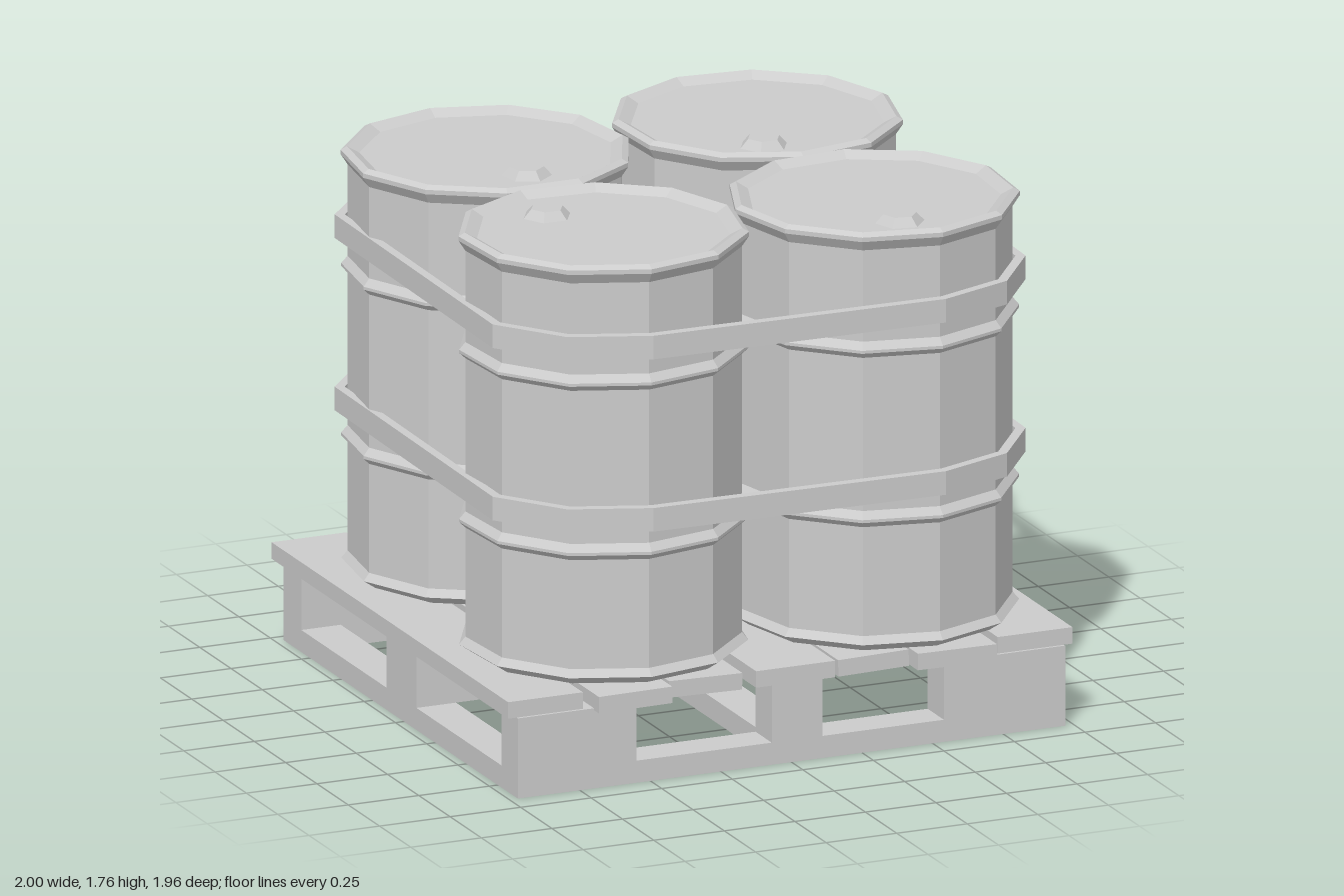
import * as THREE from 'three';

const SIDES = 11;
const rad = THREE.MathUtils.degToRad;
const material = new THREE.MeshStandardMaterial({ color: 0xcccccc, flatShading: true });

// Barrels in order around the pallet: centre, rotation and plug position
const BARRELS = [
  { name: 'frontLeftBarrel', x: 0.48, z: 0.48, turn: 20, plug: [0.45, 0.76] },
  { name: 'frontRightBarrel', x: -0.47, z: 0.46, turn: 29, plug: [-0.57, 0.24] },
  { name: 'backRightBarrel', x: -0.47, z: -0.46, turn: 8, plug: [-0.45, -0.19] },
  { name: 'backLeftBarrel', x: 0.48, z: -0.45, turn: 30, plug: [0.38, -0.17] },
];

// Barrel profile: chamfered foot, two rolling hoops, rim and recessed lid
const PROFILE = [
  [0, 0.33], [0.43, 0.33], [0.474, 0.36], [0.453, 0.385],
  [0.453, 0.755], [0.474, 0.775], [0.474, 0.785], [0.453, 0.81],
  [0.453, 1.33], [0.474, 1.35], [0.474, 1.36], [0.453, 1.385],
  [0.453, 1.695], [0.476, 1.73], [0.476, 1.745], [0.455, 1.757],
  [0.415, 1.735], [0, 1.735],
].map(([r, y]) => new THREE.Vector2(r, y));

function addMesh(parent, name, geometry) {
  const mesh = new THREE.Mesh(geometry, material);
  mesh.name = name;
  parent.add(mesh);
  return mesh;
}

// Box given by its minimum and maximum on each axis
function addBox(parent, name, [x0, x1], [y0, y1], [z0, z1]) {
  const box = addMesh(parent, name, new THREE.BoxGeometry(x1 - x0, y1 - y0, z1 - z0));
  box.position.set((x0 + x1) / 2, (y0 + y1) / 2, (z0 + z1) / 2);
  return box;
}

function createPallet() {
  const pallet = new THREE.Group();
  pallet.name = 'pallet';

  // Base frame with a centre runner
  const low = [0, 0.075];
  addBox(pallet, 'frontBaseBoard', [-0.97, 0.97], low, [0.78, 0.91]);
  addBox(pallet, 'backBaseBoard', [-0.97, 0.97], low, [-0.96, -0.82]);
  for (const [x0, x1] of [[-0.97, -0.83], [-0.05, 0.09], [0.83, 0.97]]) {
    addBox(pallet, 'baseRunner', [x0, x1], low, [-0.82, 0.78]);
  }

  // Spacer blocks: wide at the corners, small in the middle of each side
  const mid = [0.075, 0.272];
  for (const z of [[0.78, 0.91], [-0.96, -0.82]]) {
    for (const x of [[-0.97, -0.55], [-0.07, 0.11], [0.54, 0.97]]) {
      addBox(pallet, 'spacerBlock', x, mid, z);
    }
  }
  for (const x of [[-0.97, -0.73], [0.73, 0.97]]) {
    addBox(pallet, 'sideBlock', x, mid, [-0.14, 0.1]);
  }

  // Uneven deck planks: x range, z range, roll and drop
  const planks = [
    [[-1, -0.735], [-0.99, 0.9], 0, 0],
    [[-0.7, -0.44], [-0.93, 0.95], 0.01, 0.005],
    [[-0.43, -0.17], [-0.92, 0.9], -0.02, 0.004],
    [[-0.13, 0.15], [-0.99, 0.92], 0, 0],
    [[0.17, 0.42], [-0.92, 0.9], 0.02, 0.004],
    [[0.43, 0.71], [-0.95, 0.95], -0.01, 0.005],
    [[0.735, 1], [-0.99, 0.9], 0, 0],
  ];
  for (const [x, z, roll, drop] of planks) {
    const plank = addBox(pallet, 'deckPlank', x, [0.272 - drop, 0.328 - drop], z);
    plank.rotation.z = roll;
  }
  return pallet;
}

function createBarrel({ name, x, z, turn, plug }) {
  const barrel = new THREE.Group();
  barrel.name = name;
  const body = addMesh(barrel, 'barrelBody',
    new THREE.LatheGeometry(PROFILE, SIDES, Math.PI / 2 - rad(turn)));
  body.position.set(x, 0, z);
  const cap = addMesh(barrel, 'plug', new THREE.CylinderGeometry(0.055, 0.083, 0.03, 6));
  cap.position.set(plug[0], 1.749, plug[1]);
  cap.rotation.y = rad(turn);
  return barrel;
}

// Outline around all four barrels, using the outward corners of each
function strapOutline(radius) {
  const points = [];
  BARRELS.forEach(({ x, z, turn }, quadrant) => {
    for (let k = 0; k < SIDES; k++) {
      const angle = (turn + (k * 360) / SIDES) % 360;
      if (Math.floor(angle / 90) !== quadrant) continue;
      points.push(new THREE.Vector2(
        x + radius * Math.cos(rad(angle)), z + radius * Math.sin(rad(angle))));
    }
  });
  return points;
}

function createStrap(top) {
  const shape = new THREE.Shape(strapOutline(0.495));
  shape.holes.push(new THREE.Path(strapOutline(0.462)));
  const geometry = new THREE.ExtrudeGeometry(shape, { depth: 0.08, bevelEnabled: false });
  geometry.rotateX(Math.PI / 2).translate(0, top, 0);
  return geometry;
}

export function createModel() {
  const model = new THREE.Group();
  model.name = 'strappedBarrelsOnPallet';
  model.add(createPallet());
  for (const spec of BARRELS) model.add(createBarrel(spec));
  addMesh(model, 'lowerStrap', createStrap(0.94));
  addMesh(model, 'upperStrap', createStrap(1.525));
  return model;
}
